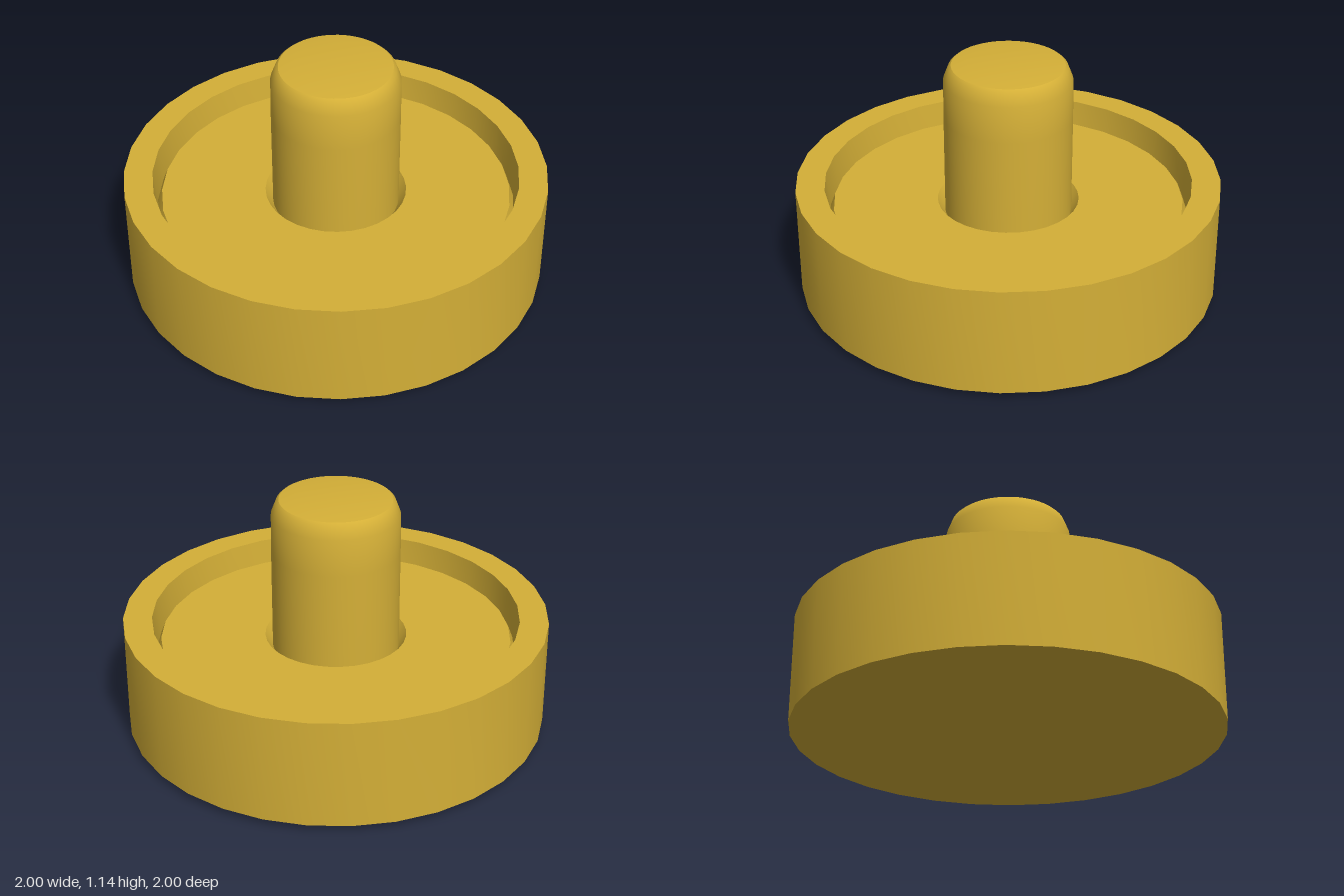
import * as THREE from 'three';
import { toCreasedNormals } from 'three/addons/utils/BufferGeometryUtils.js';

const material = new THREE.MeshStandardMaterial({ color: 0xd4af37 });

// Revolve a [radius, height] profile, smooth around and sharp at hard edges
function turned(name, profile, segments) {
  const points = profile.map(([r, y]) => new THREE.Vector2(r, y));
  const geometry = toCreasedNormals(new THREE.LatheGeometry(points, segments), 0.5);
  const mesh = new THREE.Mesh(geometry, material);
  mesh.name = name;
  return mesh;
}

export function createModel() {
  const model = new THREE.Group();
  model.name = 'knob';

  // Outer cup: bevelled underside, straight side, flat rim, tapered inner wall
  model.add(turned('cup', [
    [0, 0], [0.86, 0], [1, 0.03], [1, 0.55], [0.865, 0.55], [0.85, 0.38], [0, 0.38],
  ], 32));

  // Raised floor disc with bevelled edge and a tapered socket for the stem
  model.add(turned('floorDisc', [
    [0.85, 0.38], [0.827, 0.44], [0.335, 0.44], [0.3, 0.385],
  ], 32));

  // Stem with chamfered shoulder and shallow domed end
  model.add(turned('stem', [
    [0.3, 0.38], [0.3, 0.88], [0.298, 1.06], [0.275, 1.12],
    [0.262, 1.132], [0.19, 1.14], [0, 1.142],
  ], 48));

  return model;
}
